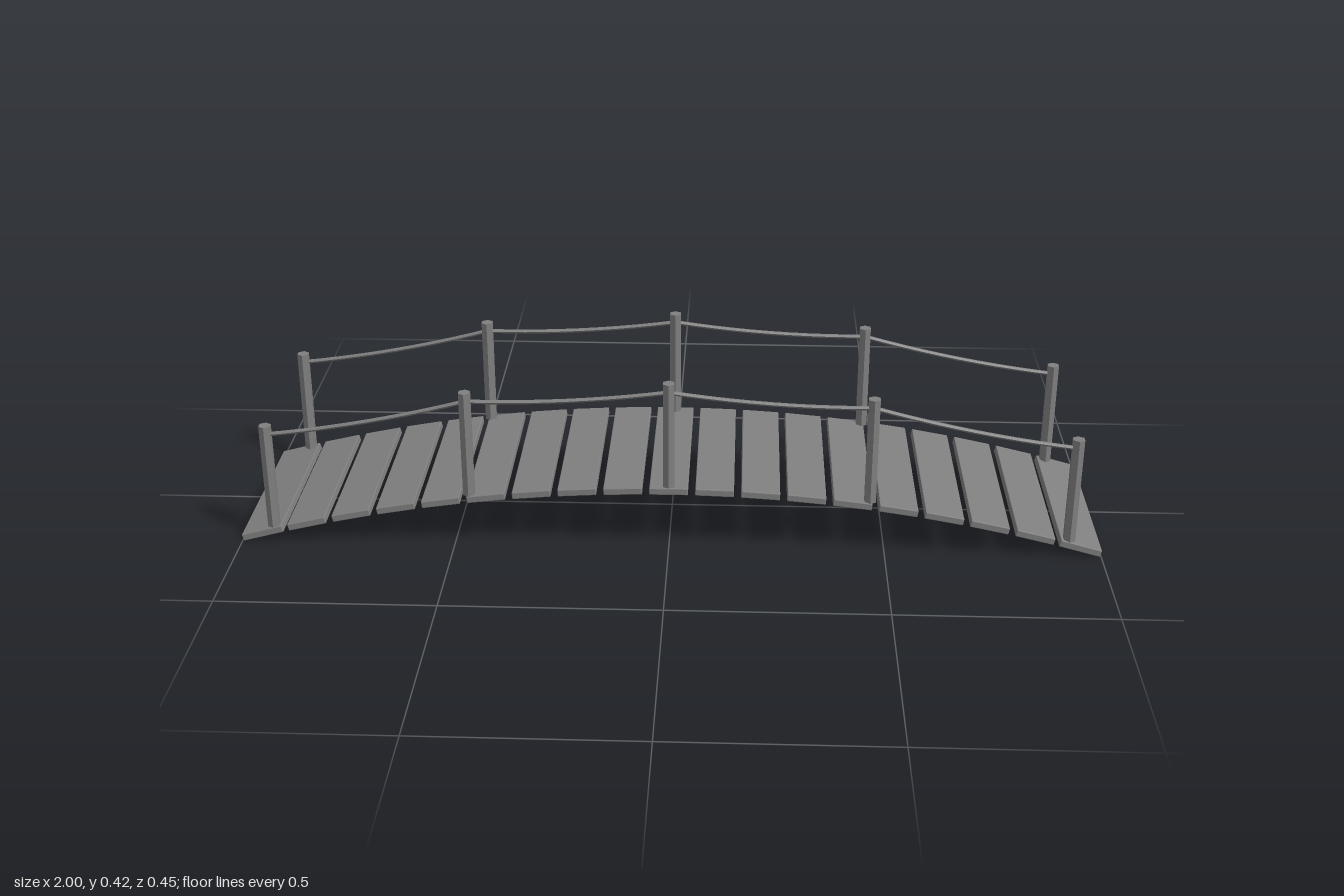
import * as THREE from 'three';
import { RoundedBoxGeometry } from 'three/addons/geometries/RoundedBoxGeometry.js';

const PLANKS = 19, PLANK_STEP = 0.1057, PLANK_THICK = 0.017, DECK_WIDTH = 0.446;
const POST_X = [-0.925, -0.4625, 0, 0.4625, 0.925];
const POST_Z = 0.208, POST_HEIGHT = 0.258, POST_RADIUS = 0.015;
const ROPE_DROP = 0.023, ROPE_RADIUS = 0.005;

// Centre line of the arched deck
const archY = (x) => 0.15 - 0.142 * x * x;
const archAngle = (x) => Math.atan(-0.284 * x);
const deckTop = (x) => archY(x) + PLANK_THICK / 2;

export function createModel() {
  const bridge = new THREE.Group();
  bridge.name = 'archedFootbridge';
  const grey = new THREE.MeshStandardMaterial({ color: 0x808080, flatShading: true });
  grey.name = 'grey';

  const add = (parent, name, geometry) => {
    const mesh = new THREE.Mesh(geometry, grey);
    mesh.name = name;
    parent.add(mesh);
    return mesh;
  };

  // Separate planks laid along the arch, the end ones slightly longer
  const deck = new THREE.Group();
  deck.name = 'deck';
  bridge.add(deck);
  const half = (PLANKS - 1) / 2;
  for (let i = -half; i <= half; i++) {
    const x = i * PLANK_STEP;
    const angle = archAngle(x);
    const length = (Math.abs(i) === half ? 0.096 : 0.089) / Math.cos(angle);
    const plank = add(deck, 'plank', new RoundedBoxGeometry(length, PLANK_THICK, DECK_WIDTH, 1, 0.002));
    plank.position.set(x, archY(x), 0);
    plank.rotation.z = angle;
  }

  // A railing on each side: hexagonal posts joined by sagging ropes
  const postGeometry = new THREE.CylinderGeometry(POST_RADIUS, POST_RADIUS, POST_HEIGHT, 6);
  for (const side of [1, -1]) {
    const railing = new THREE.Group();
    railing.name = side > 0 ? 'frontRailing' : 'backRailing';
    railing.position.z = side * POST_Z;
    bridge.add(railing);

    for (const x of POST_X) {
      add(railing, 'post', postGeometry).position.set(x, deckTop(x) + POST_HEIGHT / 2, 0);
    }

    const ropeEnd = (x) => new THREE.Vector3(x, deckTop(x) + POST_HEIGHT - ROPE_DROP, 0);
    for (let i = 0; i < POST_X.length - 1; i++) {
      const a = ropeEnd(POST_X[i]);
      const b = ropeEnd(POST_X[i + 1]);
      const control = a.clone().add(b).multiplyScalar(0.5);
      control.y -= 0.019;
      const curve = new THREE.QuadraticBezierCurve3(a, control, b);
      add(railing, 'rope', new THREE.TubeGeometry(curve, 10, ROPE_RADIUS, 6));
    }
  }
  return bridge;
}
